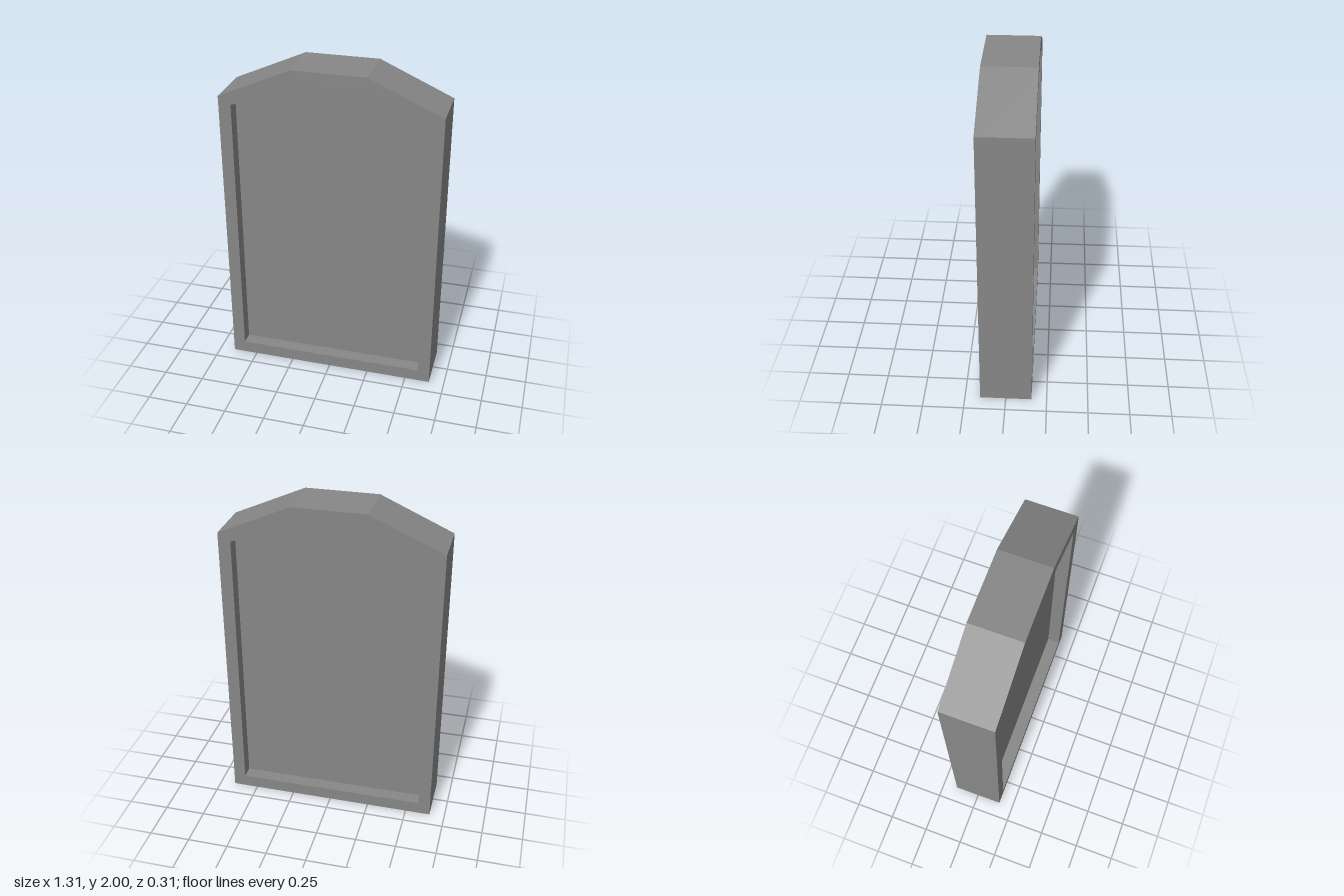
import * as THREE from 'three';

const DEPTH = 0.314; // full thickness of the frame
const RECESS = 0.08; // how far the panel sits back on each face

// Mirrored outline: straight sides, sloped shoulders, flat top
function outline(PathType, halfWidth, bottom, shoulder, halfTop, top) {
  const right = [[halfWidth, bottom], [halfWidth, shoulder], [halfTop, top]];
  const left = right.map(([x, y]) => [-x, y]).reverse();
  return new PathType([...right, ...left].map(([x, y]) => new THREE.Vector2(x, y)));
}

// Extrusion centred on z = 0
function slab(name, shape, depth, material) {
  const geometry = new THREE.ExtrudeGeometry(shape, { depth, bevelEnabled: false });
  geometry.translate(0, 0, -depth / 2);
  const mesh = new THREE.Mesh(geometry, material);
  mesh.name = name;
  return mesh;
}

export function createModel() {
  const group = new THREE.Group();
  group.name = 'archedPanel';
  const material = new THREE.MeshStandardMaterial({ color: 0x878787, flatShading: true });
  const inner = [0.58, 0.077, 1.757, 0.203, 1.923];

  // Raised border, open in the middle
  const frameShape = outline(THREE.Shape, 0.655, 0, 1.806, 0.22, 2);
  frameShape.holes.push(outline(THREE.Path, ...inner));
  group.add(slab('frame', frameShape, DEPTH, material));

  // Panel recessed on front and back
  group.add(slab('panel', outline(THREE.Shape, ...inner), DEPTH - 2 * RECESS, material));

  return group;
}
